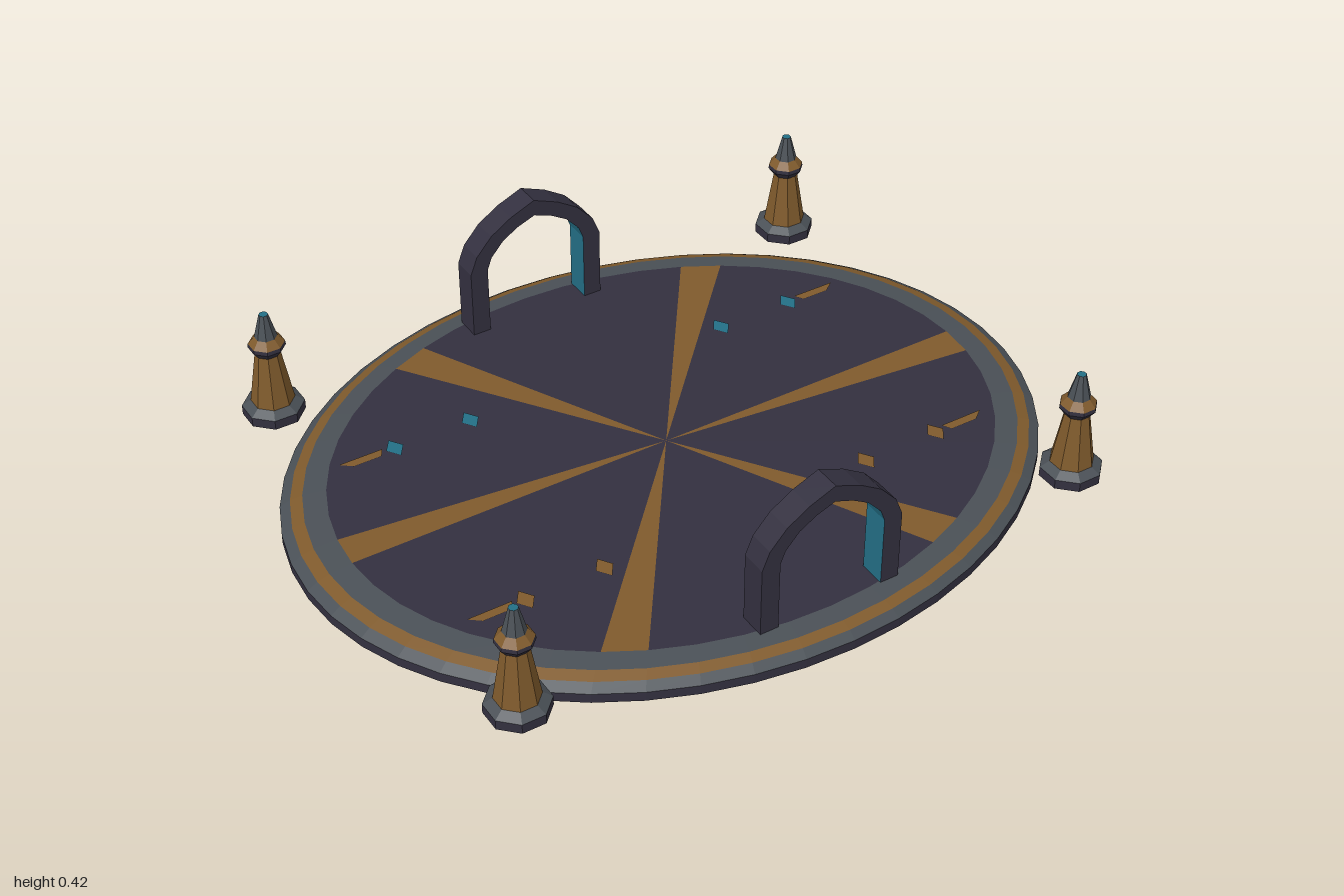
import * as THREE from 'three';

const mat = (name, color) => {
  const m = new THREE.MeshStandardMaterial({ color, side: THREE.DoubleSide });
  m.name = name;
  return m;
};

export function createModel() {
  const dark = mat('darkSlate', 0x33303f);
  const grey = mat('steelGrey', 0x4a5056);
  const bronze = mat('bronze', 0x7f5a2c);
  const teal = mat('teal', 0x236f86);
  const model = new THREE.Group();
  const depth = 0.825; // the platform is an ellipse
  const top = 0.058;

  const add = (parent, name, geometry, material) => {
    const mesh = new THREE.Mesh(geometry, material);
    mesh.name = name;
    parent.add(mesh);
    return mesh;
  };

  // Open, faceted band between two radii and heights
  const band = (r0, y0, r1, y1, sides, start = 0) => {
    const g = new THREE.CylinderGeometry(r1, r0, y1 - y0, sides, 1, true, start)
      .translate(0, (y0 + y1) / 2, 0).toNonIndexed();
    g.computeVertexNormals();
    return g;
  };

  // Platform rim, open underneath
  const platform = new THREE.Group();
  platform.name = 'platform';
  platform.scale.z = depth;
  model.add(platform);
  [
    ['rimSide', 1, 0, 1, 0.026, dark],
    ['outerRing', 1, 0.026, 0.973, 0.042, grey],
    ['bronzeRing', 0.973, 0.042, 0.941, 0.052, bronze],
    ['innerRing', 0.941, 0.052, 0.88, top, grey],
  ].forEach(([name, r0, y0, r1, y1, m]) => add(platform, name, band(r0, y0, r1, y1, 48), m));

  // Floor with six inlaid rays: every eighth sector is bronze
  const floor = new THREE.CircleGeometry(0.88, 48).rotateX(-Math.PI / 2).translate(0, top, 0);
  floor.clearGroups();
  for (let i = 0; i < 48; i++) floor.addGroup(i * 3, 3, i % 8 === 7 ? 1 : 0);
  add(platform, 'floor', floor, [dark, bronze]);

  // Flat floor inlays
  const plate = (points) => new THREE.ShapeGeometry(
    new THREE.Shape(points.map(([x, z]) => new THREE.Vector2(x, -z)))).rotateX(-Math.PI / 2);
  for (const sx of [-1, 1]) {
    for (const sz of [-1, 1]) {
      for (const x of [0.38, 0.595]) {
        const diamond = plate([[-0.024, 0], [0, 0.035], [0.024, 0], [0, -0.035]]);
        add(model, 'diamondInlay', diamond, sz < 0 ? teal : bronze)
          .position.set(sx * x, top + 0.003, sz * 0.333);
      }
      const dash = plate([[0.625, -0.012], [0.638, 0.012], [0.715, 0.012], [0.745, -0.012]]
        .map(([x, z]) => [x * sx, z]));
      add(model, 'dashInlay', dash, bronze).position.set(0, top + 0.003, sz * 0.333);
    }
  }

  // Octagonal corner towers, radii measured to the flats
  const flat = 1 / Math.cos(Math.PI / 8);
  const towerBands = [
    ['base', 0.074, 0.058, 0.074, 0.084, dark],
    ['baseBevel', 0.074, 0.084, 0.052, 0.1, grey],
    ['shaft', 0.052, 0.1, 0.03, 0.245, bronze],
    ['collar', 0.03, 0.245, 0.044, 0.265, dark],
    ['collarEdge', 0.044, 0.265, 0.043, 0.276, dark],
    ['collarTop', 0.043, 0.276, 0.027, 0.296, bronze],
    ['spire', 0.027, 0.296, 0.011, 0.362, grey],
  ];
  for (const x of [-0.785, 0.785]) {
    for (const z of [-0.635, 0.635]) {
      const tower = new THREE.Group();
      tower.name = 'cornerTower';
      tower.position.set(x, 0, z);
      for (const [name, r0, y0, r1, y1, m] of towerBands) {
        add(tower, name, band(r0 * flat, y0, r1 * flat, y1, 8, Math.PI / 8), m);
      }
      const cap = new THREE.CircleGeometry(0.011 * flat, 8, Math.PI / 8).rotateX(-Math.PI / 2);
      add(tower, 'spireCap', cap, teal).position.y = 0.362;
      model.add(tower);
    }
  }

  // Pointed arches: outline points from the foot to the apex, then mirrored
  const mirrored = (half) => [...half, ...half.slice(0, -1).reverse().map(([x, y]) => [-x, y])];
  const outer = mirrored([[0.195, top], [0.195, 0.25], [0.175, 0.3], [0.13, 0.35], [0.07, 0.388], [0, 0.417]]);
  const inner = mirrored([[0.145, top], [0.145, 0.25], [0.132, 0.284], [0.095, 0.325], [0.05, 0.352], [0, 0.371]]);
  const h = 0.035;

  const quads = (list) => {
    const pos = [];
    for (const [a, b, c, d] of list) pos.push(...a, ...b, ...c, ...a, ...c, ...d);
    const g = new THREE.BufferGeometry();
    g.setAttribute('position', new THREE.Float32BufferAttribute(pos, 3));
    g.computeVertexNormals();
    return g;
  };

  const shell = [], lining = [], back = [], keystone = [];
  for (let i = 0; i < outer.length - 1; i++) {
    const [o, p, q, r] = [outer[i], outer[i + 1], inner[i + 1], inner[i]];
    shell.push([[...o, h], [...p, h], [...q, h], [...r, h]]);
    shell.push([[...o, h], [...o, -h], [...p, -h], [...p, h]]);
    lining.push([[...r, -h], [...r, h], [...q, h], [...q, -h]]);
    (i === 4 || i === 5 ? keystone : back).push([[...r, -h], [...q, -h], [...p, -h], [...o, -h]]);
  }
  for (const z of [-0.686, 0.686]) {
    const arch = new THREE.Group();
    arch.name = 'archGate';
    arch.position.z = z;
    add(arch, 'archShell', quads(shell), dark);
    add(arch, 'archLining', quads(lining), teal);
    add(arch, 'archBack', quads(back), grey);
    add(arch, 'archKeystone', quads(keystone), bronze);
    model.add(arch);
  }
  return model;
}
